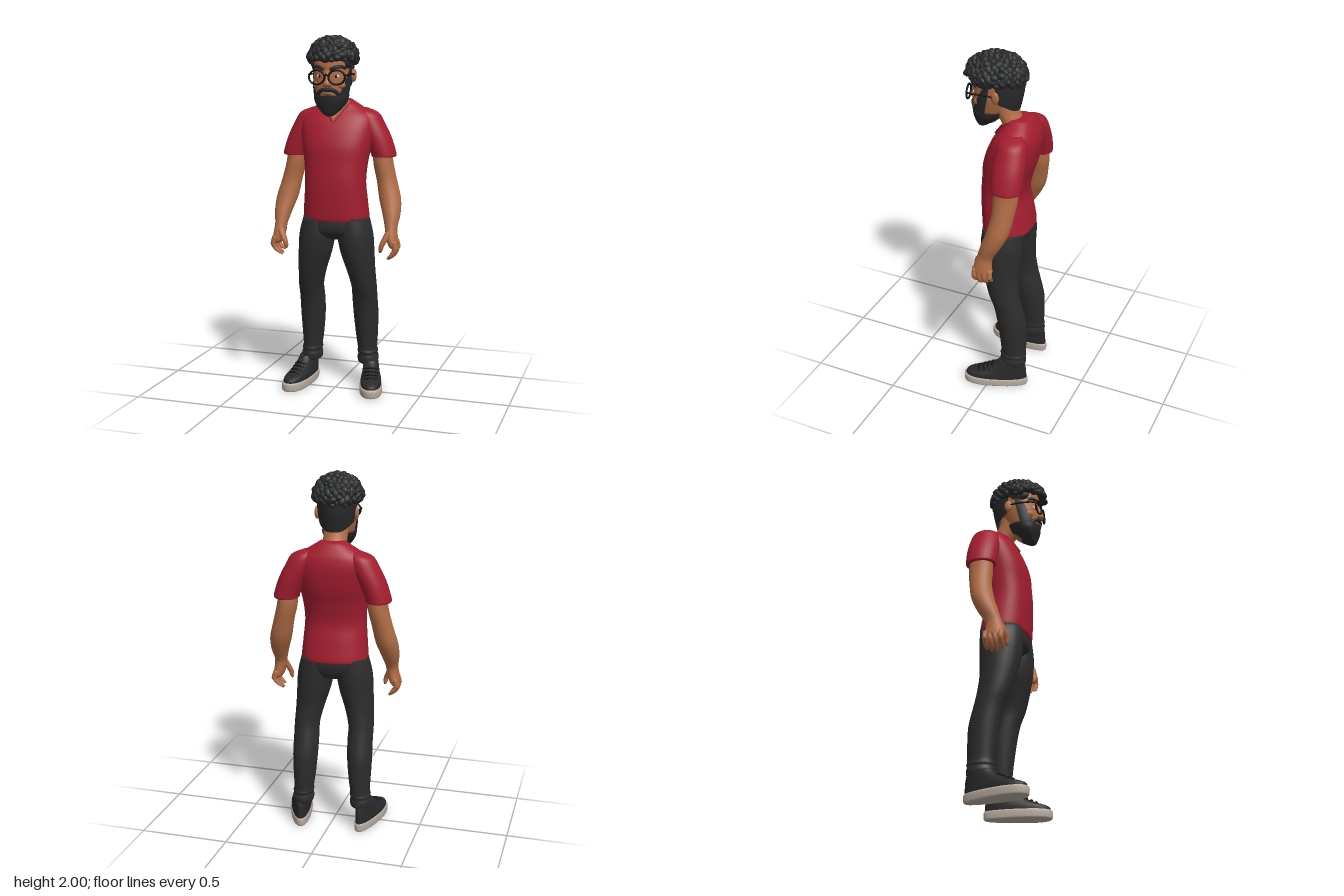
import * as THREE from 'three';
import { mergeGeometries } from 'three/addons/utils/BufferGeometryUtils.js';

const flat = (name, color, side = THREE.FrontSide) => {
  const m = new THREE.MeshStandardMaterial({ color, side });
  m.name = name;
  return m;
};

// Resample sections [x, y, z, rx, rz] smoothly, ordered from bottom to top
function smooth(secs, n) {
  const s = secs[0][1] > secs[secs.length - 1][1] ? [...secs].reverse() : secs;
  const c = new THREE.CatmullRomCurve3(s.map(p => new THREE.Vector3(p[0], p[1], p[2])), false, 'catmullrom');
  const r = new THREE.CatmullRomCurve3(s.map(p => new THREE.Vector3(p[3], p[4], 0)), false, 'catmullrom');
  return Array.from({ length: n + 1 }, (_, i) => {
    const a = c.getPoint(i / n), b = r.getPoint(i / n);
    return [a.x, a.y, a.z, b.x, b.y];
  });
}

// Section at a given height
function at(rings, y) {
  let i = 0;
  while (i < rings.length - 2 && rings[i + 1][1] < y) i++;
  const a = rings[i], b = rings[i + 1];
  const t = THREE.MathUtils.clamp((y - a[1]) / (b[1] - a[1]), 0, 1);
  return a.map((v, k) => v + (b[k] - v) * t);
}

function build(pos, idx) {
  const g = new THREE.BufferGeometry();
  g.setAttribute('position', new THREE.Float32BufferAttribute(pos, 3));
  g.setIndex(idx);
  g.computeVertexNormals();
  return g;
}

// Capped body through horizontal superellipse rings
function loft(secs, seg = 24, n = 28, exp = 2) {
  const rings = smooth(secs, n), pos = [], idx = [];
  const pw = v => Math.sign(v) * Math.abs(v) ** (2 / exp);
  for (const [x, y, z, rx, rz] of rings)
    for (let j = 0; j < seg; j++) {
      const a = j / seg * Math.PI * 2;
      pos.push(x + rx * pw(Math.sin(a)), y, z + rz * pw(Math.cos(a)));
    }
  const lo = rings.length * seg, last = (rings.length - 1) * seg;
  pos.push(...rings[0].slice(0, 3), ...rings[rings.length - 1].slice(0, 3));
  for (let j = 0; j < seg; j++) {
    const k = (j + 1) % seg;
    for (let i = 0; i < rings.length - 1; i++) {
      const a = i * seg + j, b = i * seg + k;
      idx.push(a, b, a + seg, b, b + seg, a + seg);
    }
    idx.push(lo, k, j, lo + 1, last + j, last + k);
  }
  return build(pos, idx);
}

// Open surface patch from a rule f(u, v) -> [x, y, z]
function patch(f, nu = 28, nv = 14) {
  const pos = [], idx = [];
  for (let i = 0; i <= nv; i++) for (let j = 0; j <= nu; j++) pos.push(...f(j / nu, i / nv));
  for (let i = 0; i < nv; i++) for (let j = 0; j < nu; j++) {
    const a = i * (nu + 1) + j, b = a + nu + 1;
    idx.push(a, a + 1, b, a + 1, b + 1, b);
  }
  return build(pos, idx);
}

const ball = (x, y, z, rx, ry, rz, w = 16, h = 12) => new THREE.SphereGeometry(1, w, h).scale(rx, ry, rz).translate(x, y, z);
const tube = (pts, r, n = 16) => new THREE.TubeGeometry(new THREE.CatmullRomCurve3(pts.map(p => new THREE.Vector3(...p))), n, r, 8);

function mirrored(geo) {
  const g = geo.clone().scale(-1, 1, 1), ix = g.index;
  for (let i = 0; i < ix.count; i += 3) {
    const t = ix.getX(i);
    ix.setX(i, ix.getX(i + 1));
    ix.setX(i + 1, t);
  }
  return g;
}

export function createModel() {
  const model = new THREE.Group();
  model.name = 'standingMan';
  const D = THREE.DoubleSide;
  const shirt = flat('red shirt', 0xa31d2f), skin = flat('skin', 0xb06c45, D), trousers = flat('charcoal trousers', 0x2c2c2d);
  const hair = flat('black hair', 0x28292a, D), shoe = flat('dark shoe', 0x29292b), sole = flat('pale sole', 0xb9aca0);
  const frame = flat('black frames', 0x121213), white = flat('eye white', 0xd8d2ca), lip = flat('lip', 0x8a4a38);
  const add = (name, geo, mat) => {
    const m = new THREE.Mesh(geo, mat);
    m.name = name;
    model.add(m);
  };
  const pair = (name, geo, mat) => {
    add('left' + name, geo, mat);
    add('right' + name, mirrored(geo), mat);
  };

  // Shirt with V neck
  const body = [[0, .985, -.03, .176, .125], [0, .995, -.03, .186, .138], [0, 1.1, -.018, .178, .133], [0, 1.2, -.008, .171, .125],
    [0, 1.3, -.02, .178, .13], [0, 1.4, -.04, .195, .14], [0, 1.5, -.065, .208, .13], [0, 1.56, -.08, .198, .11],
    [0, 1.6, -.088, .15, .088], [0, 1.64, -.09, .088, .062], [0, 1.652, -.09, .07, .045]];
  add('shirtBody', loft(body, 40, 50, 2.3), shirt);
  const bodyRings = smooth(body, 50);
  const onChest = (x, y, out) => {
    const [, , cz, rx, rz] = at(bodyRings, y);
    const k = Math.min(Math.abs(x) / rx, .95);
    return [Math.sign(x) * k * rx, y, cz + rz * (1 - k ** 2.3) ** (1 / 2.3) + out];
  };
  const vWidth = y => .078 * (y - 1.53) / .11;
  add('neckOpening', patch((u, v) => {
    const y = 1.53 + .11 * v;
    return onChest((u * 2 - 1) * vWidth(y), y, .004);
  }, 16, 10), skin);
  pair('CollarEdge', tube([0, .25, .5, .75, 1].map(t => onChest(vWidth(1.53 + .11 * t), 1.53 + .11 * t, .004)), .006), shirt);
  pair('Sleeve', loft([[.13, 1.603, -.1, .03, .04], [.155, 1.575, -.1, .068, .072], [.18, 1.52, -.1, .077, .086],
    [.22, 1.44, -.1, .076, .09], [.252, 1.355, -.1, .071, .086], [.254, 1.335, -.1, .068, .083], [.252, 1.338, -.1, .058, .07]], 24, 30), shirt);

  // Arms and hands
  pair('Arm', loft([[.245, 1.42, -.1, .05, .06], [.252, 1.3, -.1, .056, .068], [.275, 1.2, -.093, .057, .062], [.298, 1.1, -.072, .061, .063],
    [.313, 1.02, -.04, .05, .057], [.318, .95, -.008, .035, .046], [.322, .91, .002, .034, .049], [.333, .86, .004, .03, .056], [.336, .84, .004, .02, .048]], 20, 36), skin);
  for (let i = 0; i < 4; i++) {
    const z = -.042 + i * .029, d = [.018, .004, 0, .01][i];
    pair('Finger' + (i + 1), loft([[.34, .88, z, .016, .015], [.35, .84, z, .0165, .015], [.344, .808 + d, z, .015, .014],
      [.325, .785 + d, z, .013, .013], [.308, .77 + d, z, .005, .006]], 10, 14), skin);
  }
  pair('Thumb', loft([[.312, .93, .03, .018, .02], [.295, .89, .045, .019, .02], [.278, .855, .055, .015, .016],
    [.272, .83, .055, .012, .013], [.27, .815, .054, .005, .006]], 12, 14), skin);

  // Trousers
  add('trouserSeat', loft([[0, 1.03, -.03, .165, .115], [0, .97, -.028, .187, .124], [0, .92, -.025, .19, .115], [0, .885, -.03, .12, .085], [0, .87, -.03, .05, .05]], 32, 20, 2.3), trousers);
  pair('TrouserLeg', loft([[.1, 1.0, -.028, .086, .118], [.11, .9, -.025, .1, .122], [.122, .8, -.026, .095, .114], [.14, .7, -.035, .081, .1],
    [.155, .6, -.055, .071, .09], [.155, .52, -.08, .071, .084], [.157, .42, -.102, .07, .085], [.16, .3, -.113, .062, .078],
    [.163, .225, -.116, .055, .073], [.165, .205, -.116, .059, .077], [.166, .19, -.116, .055, .073], [.167, .17, -.116, .06, .077],
    [.167, .145, -.116, .058, .074], [.167, .135, -.116, .05, .066]], 24, 56), trousers);

  // Shoes: toes wider than heels and turned outward
  const place = g => {
    const p = g.attributes.position;
    for (let i = 0; i < p.count; i++) p.setX(i, p.getX(i) * (1 + 1.3 * p.getZ(i)));
    g.computeVertexNormals();
    return g.rotateY(.21).translate(.205, 0, -.022);
  };
  pair('Sole', place(loft([[0, 0, 0, .054, .176], [0, .008, 0, .061, .186], [0, .04, 0, .062, .188], [0, .05, 0, .058, .182]], 32, 12, 2.3)), sole);
  pair('ShoeUpper', place(loft([[0, .04, -.002, .057, .18], [0, .07, -.006, .057, .174], [0, .095, -.04, .052, .138],
    [0, .12, -.068, .05, .108], [0, .145, -.085, .047, .085], [0, .162, -.09, .044, .075]], 32, 20, 2.2)), shoe);
  for (let i = 0; i < 4; i++) {
    const z = .1 - i * .026, y = .092 + i * .012;
    pair('Lace' + (i + 1), place(tube([[-.036, y - .01, z - .014], [-.015, y + .003, z], [.015, y + .003, z], [.036, y - .01, z - .014]], .005, 10)), frame);
  }

  // Neck, head and ears
  add('neck', loft([[0, 1.58, -.07, .072, .06], [0, 1.64, -.035, .066, .064], [0, 1.7, 0, .067, .072], [0, 1.78, .03, .07, .08]]), skin);
  const skull = [[0, 1.6, .1, .04, .045], [0, 1.64, .085, .07, .072], [0, 1.7, .07, .088, .095], [0, 1.76, .06, .099, .109],
    [0, 1.82, .05, .102, .12], [0, 1.88, .043, .102, .122], [0, 1.94, .042, .08, .1], [0, 1.965, .042, .04, .05]];
  add('head', loft(skull, 32, 30, 2.2), skin);
  pair('Ear', ball(0, 0, 0, .013, .036, .024).rotateY(-.25).translate(.108, 1.785, .015), skin);
  add('nose', loft([[0, 1.81, .16, .011, .014], [0, 1.775, .168, .013, .018], [0, 1.745, .176, .022, .022], [0, 1.732, .172, .02, .02], [0, 1.725, .165, .01, .01]], 16, 16), skin);
  pair('Nostril', ball(.019, 1.74, .168, .011, .011, .014), skin);
  pair('Cheek', ball(.058, 1.735, .118, .032, .026, .034), skin);

  // Eyes and brows
  pair('Eye', ball(.044, 1.783, .151, .02, .011, .01), white);
  pair('Pupil', ball(.043, 1.783, .159, .0085, .0095, .004), frame);
  pair('EyeBrow', tube([[.014, 1.818, .173], [.04, 1.829, .167], [.07, 1.834, .146], [.088, 1.824, .122]], .0095), hair);

  // Beard, sideburns and moustache
  const chin = [[0, 1.567, .128, .012, .012], [0, 1.58, .122, .035, .028], [0, 1.61, .106, .065, .054], [0, 1.645, .09, .088, .08],
    [0, 1.68, .078, .096, .097], [0, 1.72, .069, .102, .107], [0, 1.77, .058, .106, .116], [0, 1.82, .05, .107, .122], [0, 1.86, .046, .107, .124]];
  add('beard', loft(chin.slice(0, 5), 32, 20, 2.2), hair);
  const beardRings = smooth(chin, 40);
  add('jawHair', patch((u, v) => {
    const a = (u * 2 - 1) * 1.55, s = THREE.MathUtils.smoothstep(Math.abs(a), .55, 1.5);
    const [, y, cz, rx, rz] = at(beardRings, 1.63 + v * (.05 + .17 * s));
    return [Math.sin(a) * rx, y, cz + Math.cos(a) * rz];
  }, 40, 14), hair);
  pair('Moustache', tube([[-.004, 1.711, .174], [.022, 1.712, .17], [.045, 1.7, .157], [.062, 1.675, .14]], .011), hair);
  add('lowerLip', ball(0, 1.689, .172, .023, .007, .009), lip);

  // Cropped hair at the back and sides
  const nape = smooth([[0, 1.69, .0, .074, .083], [0, 1.74, .022, .097, .116], [0, 1.8, .036, .108, .142], [0, 1.86, .042, .114, .15], [0, 1.9, .045, .115, .147]], 20);
  add('croppedHair', patch((u, v) => {
    const a = 1.75 + u * (2 * Math.PI - 3.5), s = Math.abs(Math.sin(a)) ** 4;
    const [, y, cz, rx, rz] = at(nape, 1.695 + .05 * s + v * (.2 - .05 * s));
    return [Math.sin(a) * rx, y, cz + Math.cos(a) * rz];
  }), hair);
  pair('Temple', ball(.094, 1.855, .075, .018, .035, .06), hair);

  // Curly top
  let seed = 7;
  const rnd = () => (seed = (seed * 16807) % 2147483647) / 2147483647;
  const curls = [new THREE.SphereGeometry(1, 32, 16, 0, Math.PI * 2, 0, Math.PI * .55).scale(.119, .1, .148).translate(0, 1.88, .045)];
  const count = 190;
  for (let i = 0; i < count; i++) {
    const h = 1 - i / count * 1.55, a = i * 2.39996, r = Math.sqrt(1 - h * h);
    const x = Math.sin(a) * r, z = Math.cos(a) * r;
    if (h < -.08 - .25 * (1 - z) / 2) continue;
    const s = .017 + .009 * rnd();
    const g = ball(0, 0, 0, s * 1.25, s * .85, s, 10, 8).rotateZ(rnd() * 3).rotateY(rnd() * 3);
    curls.push(g.translate(x * .12, 1.879 + h * .099, .045 + z * .15));
  }
  // Loose locks
  for (let i = 0; i < 12; i++) {
    const lock = new THREE.TorusGeometry(.017, .007, 7, 12, 4.2).rotateX(rnd() * 3).rotateY(rnd() * 6);
    const a = (i / 11 * 2 - 1) * 1.7, h = .15 + .5 * rnd(), r = Math.sqrt(1 - h * h);
    curls.push(lock.translate(Math.sin(a) * r * .123, 1.879 + h * .1, .045 + Math.cos(a) * r * .152));
  }
  add('curlyHair', mergeGeometries(curls), hair);

  // Glasses
  pair('LensRim', new THREE.TorusGeometry(.041, .0055, 8, 32).scale(1.08, .92, 1).rotateY(.12).translate(.055, 1.778, .182), frame);
  add('glassesBridge', tube([[-.014, 1.785, .187], [0, 1.791, .19], [.014, 1.785, .187]], .005), frame);
  pair('GlassesArm', tube([[.098, 1.788, .177], [.108, 1.79, .15], [.112, 1.792, .05], [.112, 1.785, .01]], .005), frame);

  // Slight turn of the whole stance
  model.rotation.y = .06;
  return model;
}
